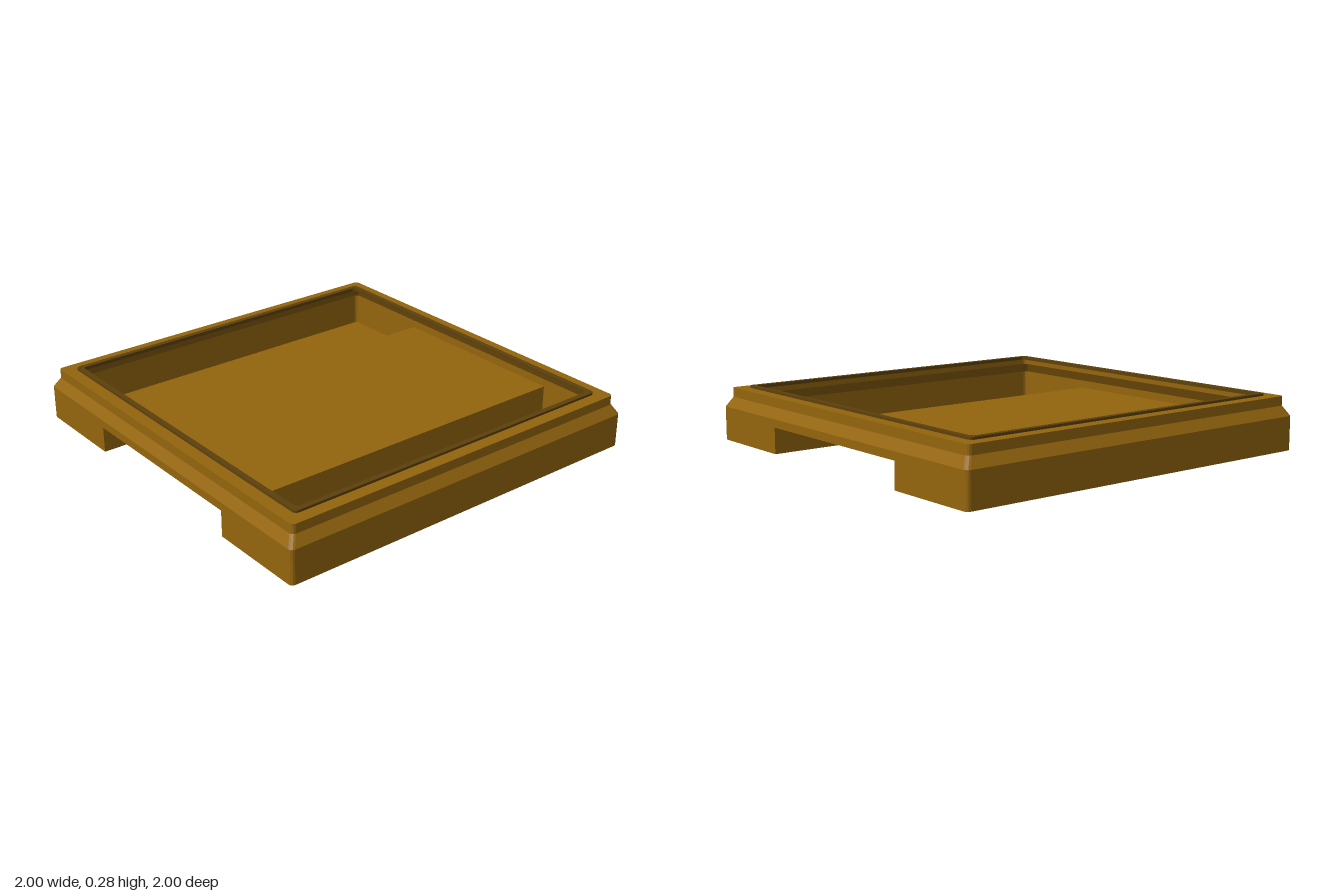
import * as THREE from 'three';

const WOOD = 0x94660e, DARK = 0x5e410c;
const CHANNEL_HALF = 0.5, CHANNEL_Y = 0.13, CORNER = 0.02;

const material = (color) => new THREE.MeshStandardMaterial({
  color, flatShading: true, side: THREE.DoubleSide,
});

// Square outline with small rounded corners, as [x, z] points
function squareRing(half, r = CORNER) {
  const points = [];
  for (let corner = 0; corner < 4; corner++) {
    const mid = Math.PI / 4 + corner * Math.PI / 2;
    const cx = Math.sign(Math.cos(mid)) * (half - r);
    const cz = Math.sign(Math.sin(mid)) * (half - r);
    for (let i = 0; i <= 3; i++) {
      const a = corner * Math.PI / 2 + i * Math.PI / 6;
      points.push([cx + r * Math.cos(a), cz + r * Math.sin(a)]);
    }
  }
  return points;
}

// Skin joining closed rings {y, points} from one level to the next
function loft(rings) {
  const pos = [], n = rings[0].points.length;
  const vertex = (ring, j) => [ring.points[j][0], ring.y, ring.points[j][1]];
  for (let i = 0; i < rings.length - 1; i++) {
    for (let j = 0; j < n; j++) {
      const k = (j + 1) % n;
      const a = vertex(rings[i], j), b = vertex(rings[i], k);
      const c = vertex(rings[i + 1], k), d = vertex(rings[i + 1], j);
      pos.push(...a, ...d, ...c, ...a, ...c, ...b);
    }
  }
  const geometry = new THREE.BufferGeometry();
  geometry.setAttribute('position', new THREE.Float32BufferAttribute(pos, 3));
  geometry.computeVertexNormals();
  return geometry;
}

const squareLoft = (profile) =>
  loft(profile.map(([half, y]) => ({ y, points: squareRing(half) })));

export function createModel() {
  const group = new THREE.Group();
  const wood = material(WOOD), dark = material(DARK);
  const add = (name, geometry, mat = wood) => {
    const mesh = new THREE.Mesh(geometry, mat);
    mesh.name = name;
    group.add(mesh);
    return mesh;
  };

  // Hollow outer wall: skirt, chamfer, upper band and flat rim
  add('outerWall', squareLoft([
    [1, CHANNEL_Y], [1, 0.17], [0.97, 0.22], [0.97, 0.267], [0.907, 0.267],
  ]));

  // Thin raised lip round the opening
  add('openingLip', squareLoft([
    [0.907, 0.267], [0.907, 0.279], [0.88, 0.279], [0.88, 0.262],
  ]), dark);

  // Floor over the channel
  const floor = add('channelFloor',
    new THREE.PlaneGeometry(2 * CHANNEL_HALF, 2).rotateX(Math.PI / 2));
  floor.position.y = CHANNEL_Y;

  // Hollow feet, open towards the inside of the tray
  for (const side of [1, -1]) {
    const outer = squareRing(1).filter(([x]) => x > 0.5);
    const upper = outer.filter(([, z]) => z > 0);
    const lower = outer.filter(([, z]) => z < 0);
    let points = [...lower, ...upper, [CHANNEL_HALF, 1], [CHANNEL_HALF, -1]];
    if (side < 0) points = points.map(([x, z]) => [-x, z]).reverse();

    const name = side > 0 ? 'leftFoot' : 'rightFoot';
    add(name + 'Wall', loft([{ y: 0, points }, { y: CHANNEL_Y, points }]));
    const shape = new THREE.Shape(points.map(([x, z]) => new THREE.Vector2(x, z)));
    add(name + 'Base', new THREE.ShapeGeometry(shape).rotateX(Math.PI / 2));
  }
  return group;
}
